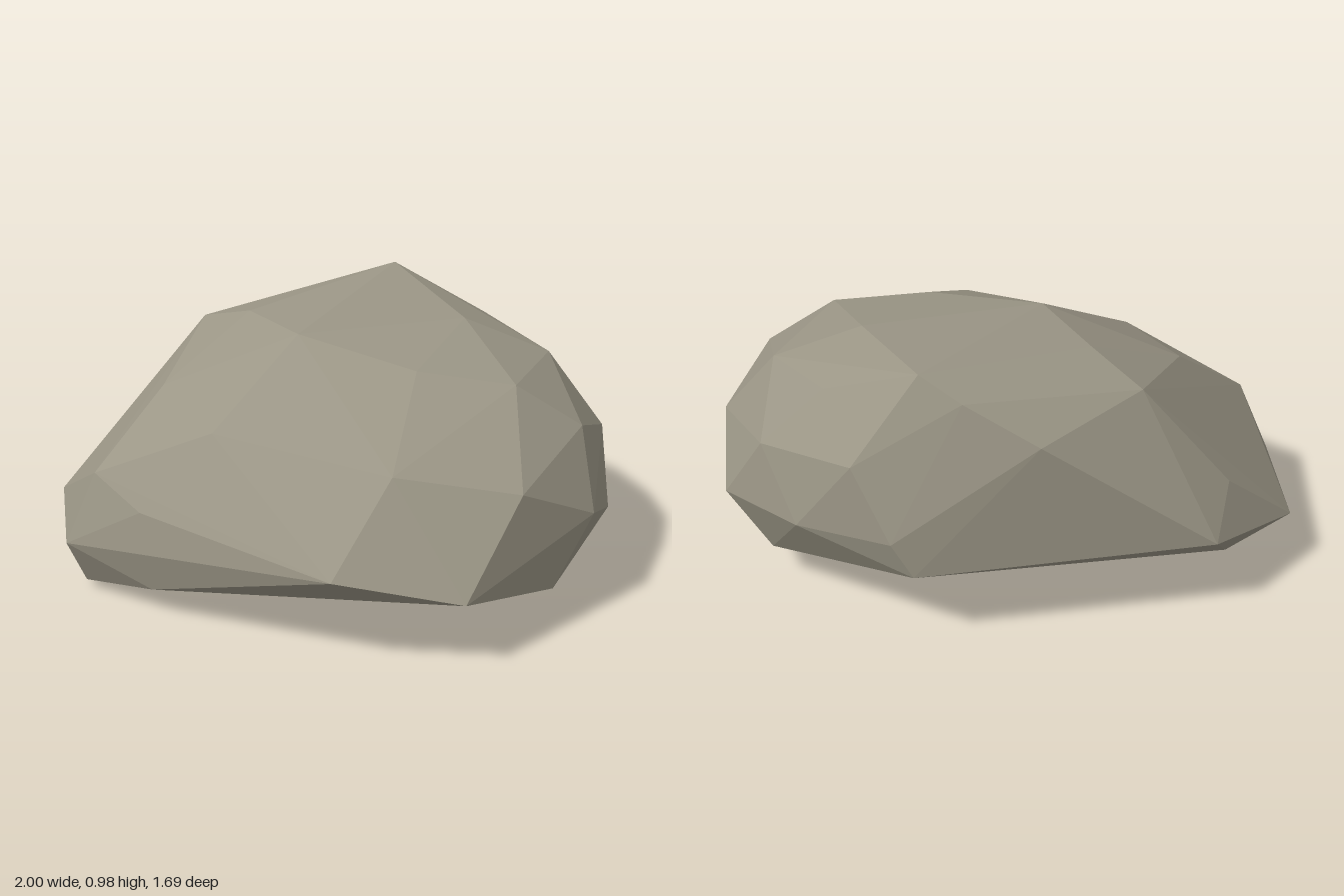
import * as THREE from 'three';
import { ConvexGeometry } from 'three/addons/geometries/ConvexGeometry.js';

// Corner points of the boulder, grouped by zone
const underside = [
  [-0.37, 0, -0.05], [0.38, 0.03, 0.34], [-0.92, 0.03, -0.25],
  [-0.68, 0.09, -0.59], [-0.76, 0.11, 0.06], [0.86, 0.14, -0.18], [0.51, 0.16, 0.65],
];
const rim = [
  [-1, 0.22, -0.19], [-0.9, 0.23, -0.63], [-0.53, 0.32, -0.85], [0.49, 0.31, -0.73],
  [0.56, 0.44, -0.71], [0.82, 0.4, -0.45], [1, 0.36, -0.12], [0.94, 0.22, 0.25],
  [0.69, 0.39, 0.59], [0.09, 0.27, 0.84], [-0.33, 0.36, 0.69], [-0.79, 0.41, 0.05],
];
const shoulder = [
  [-0.89, 0.49, -0.16], [-0.53, 0.68, 0.08], [-0.06, 0.64, 0.56], [0.36, 0.56, 0.69],
  [0.73, 0.64, 0.4], [0.94, 0.52, 0.17], [0.89, 0.62, -0.26], [0.66, 0.69, -0.6],
  [0.07, 0.76, -0.77], [-0.62, 0.47, -0.71],
];
const crown = [
  [-0.59, 0.73, -0.29], [-0.14, 0.92, -0.12], [-0.21, 0.91, -0.44], [-0.32, 0.84, -0.64],
  [0.3, 0.9, -0.66], [0.42, 0.98, -0.57], [0.68, 0.83, -0.32], [0.78, 0.78, 0.03],
  [0.49, 0.91, -0.08], [0.5, 0.8, 0.33], [0.18, 0.85, 0.2],
];

export function createModel() {
  const group = new THREE.Group();
  group.name = 'rock';

  const stone = new THREE.MeshStandardMaterial({ color: 0x9b9686 });
  stone.name = 'stone';
  stone.flatShading = true;

  // One faceted boulder wrapped around the corner points
  const points = [...underside, ...rim, ...shoulder, ...crown]
    .map((p) => new THREE.Vector3(...p));
  const boulder = new THREE.Mesh(new ConvexGeometry(points), stone);
  boulder.name = 'boulder';
  group.add(boulder);
  return group;
}
